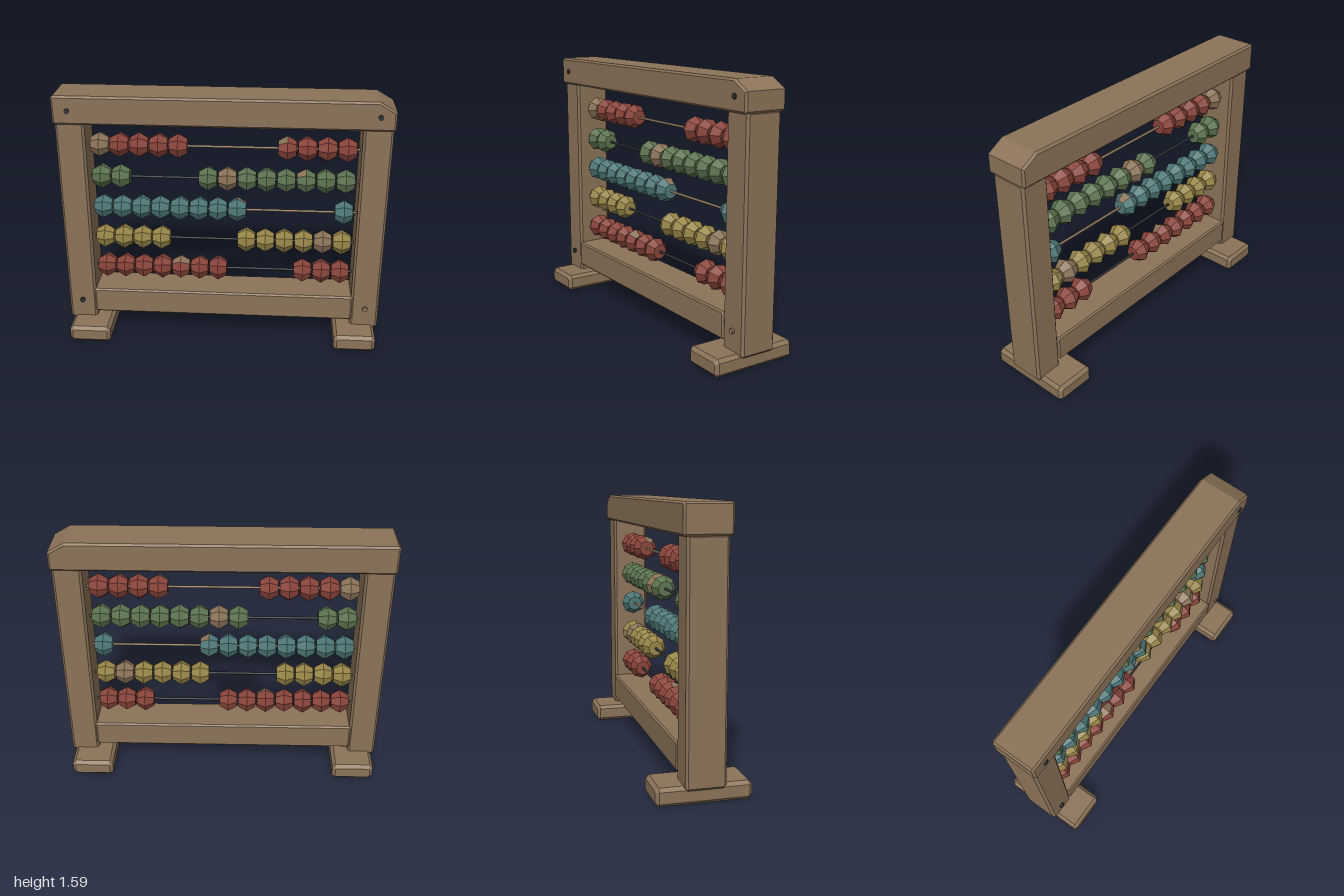
import * as THREE from 'three';

const paint = (name, color) => {
  const m = new THREE.MeshStandardMaterial({ color });
  m.name = name;
  return m;
};

// Box with chamfered edges; "chip" optionally cuts the upper left-hand (+x) corner
function chamferedBlock(w, h, d, c, chip) {
  const x = w / 2, y = h / 2;
  const corner = chip ? [[x, y - chip[1]], [x - chip[0], y]] : [[x, y - c], [x - c, y]];
  const outline = [
    [-x + c, -y], [x - c, -y], [x, -y + c], ...corner,
    [-x + c, y], [-x, y - c], [-x, -y + c],
  ].map(([a, b]) => new THREE.Vector2(a, b));
  const geo = new THREE.ExtrudeGeometry(new THREE.Shape(outline), {
    depth: d - 2 * c, bevelEnabled: true, bevelSegments: 1,
    bevelSize: c, bevelThickness: c, bevelOffset: -c,
  });
  return geo.translate(0, 0, -(d - 2 * c) / 2);
}

// Eight-sided faceted bead with its axis along x
const SIDES = 8;
function beadGeometry() {
  const profile = [[0, -0.055], [0.047, -0.055], [0.079, 0], [0.047, 0.055], [0, 0.055]]
    .map(([r, y]) => new THREE.Vector2(r, y));
  const geo = new THREE.LatheGeometry(profile, SIDES).toNonIndexed();
  geo.computeVertexNormals();
  return geo.rotateZ(Math.PI / 2);
}

// Same bead with some facets [side, ring] in a second material
function chippedBead(chips) {
  const geo = beadGeometry();
  for (let side = 0; side < SIDES; side++) {
    for (let ring = 0; ring < 4; ring++) {
      const bare = chips.some(([s, r]) => s === side && r === ring);
      geo.addGroup((side * 4 + ring) * 6, 6, bare ? 1 : 0);
    }
  }
  return geo;
}

export function createModel() {
  const wood = paint('wood', 0x8b7359);
  const iron = paint('dark iron', 0x303236);
  const red = paint('red paint', 0x8a443b);
  const green = paint('green paint', 0x5b7350);
  const teal = paint('teal paint', 0x4e7778);
  const yellow = paint('yellow paint', 0x978648);

  const model = new THREE.Group();
  const add = (name, geo, mat, x, y, z, parent = model) => {
    const mesh = new THREE.Mesh(geo, mat);
    mesh.name = name;
    mesh.position.set(x, y, z);
    parent.add(mesh);
    return mesh;
  };

  // Frame
  add('topBeam', chamferedBlock(2, 0.175, 0.27, 0.012, [0.1, 0.058]), wood, 0, 1.507, 0);
  add('bottomRail', chamferedBlock(1.65, 0.165, 0.24, 0.01), wood, 0, 0.225, 0);
  for (const [side, s] of [['left', 1], ['right', -1]]) {
    add(side + 'Post', chamferedBlock(0.175, 1.345, 0.228, 0.014), wood, s * 0.905, 0.7575, 0);
    add(side + 'Foot', chamferedBlock(0.26, 0.105, 0.54, 0.02), wood, s * 0.84, 0.0545, 0);
  }

  // Nail heads and one wooden peg on the front
  const nail = new THREE.CylinderGeometry(0.017, 0.017, 0.03, 8).toNonIndexed();
  nail.computeVertexNormals();
  nail.rotateX(Math.PI / 2);
  for (const s of [-1, 1]) {
    add('topNail', nail, iron, s * 0.907, 1.505, 0.127);
    add(s < 0 ? 'lowerNail' : 'lowerPeg', nail, s < 0 ? iron : wood, s * 0.907, 0.225, 0.114);
  }

  // Rows from the top: height, rod material, paint, beads at each end, worn bead, chipped beads
  const rows = [
    { y: 1.257, rod: wood, mat: red, counts: [5, 4], worn: 0, chips: { 5: [[1, 2]] } },
    { y: 1.05, rod: iron, mat: green, counts: [2, 8], worn: 3, chips: { 7: [[1, 2]] } },
    { y: 0.845, rod: wood, mat: teal, counts: [8, 1], worn: -1, chips: { 7: [[2, 1]] } },
    { y: 0.637, rod: iron, mat: yellow, counts: [4, 6], worn: 8, chips: {} },
    { y: 0.43, rod: iron, mat: red, counts: [7, 3], worn: -1, chips: { 4: [[1, 1], [1, 2]] } },
  ];
  const rodGeo = new THREE.CylinderGeometry(0.008, 0.008, 1.68, 8).rotateZ(Math.PI / 2);
  const plainBead = beadGeometry();
  const pitch = 0.1195;

  rows.forEach((row, r) => {
    const group = new THREE.Group();
    group.name = 'beadRow' + (r + 1);
    group.position.y = row.y;
    model.add(group);
    add('rod', rodGeo, row.rod, 0, 0, 0, group);

    const [first, last] = row.counts;
    for (let i = 0; i < first + last; i++) {
      const x = i < first ? -0.75 + i * pitch : 0.742 - (first + last - 1 - i) * pitch;
      const chips = row.chips[i];
      const bead = chips
        ? add('chippedBead', chippedBead(chips), [row.mat, wood], x, 0, 0, group)
        : add('bead', plainBead, i === row.worn ? wood : row.mat, x, 0, 0, group);
      // Small uneven turn about the rod
      bead.rotation.x = 0.08 + 0.16 * Math.sin(i * 2.4 + r * 1.7);
    }
  });

  return model;
}
